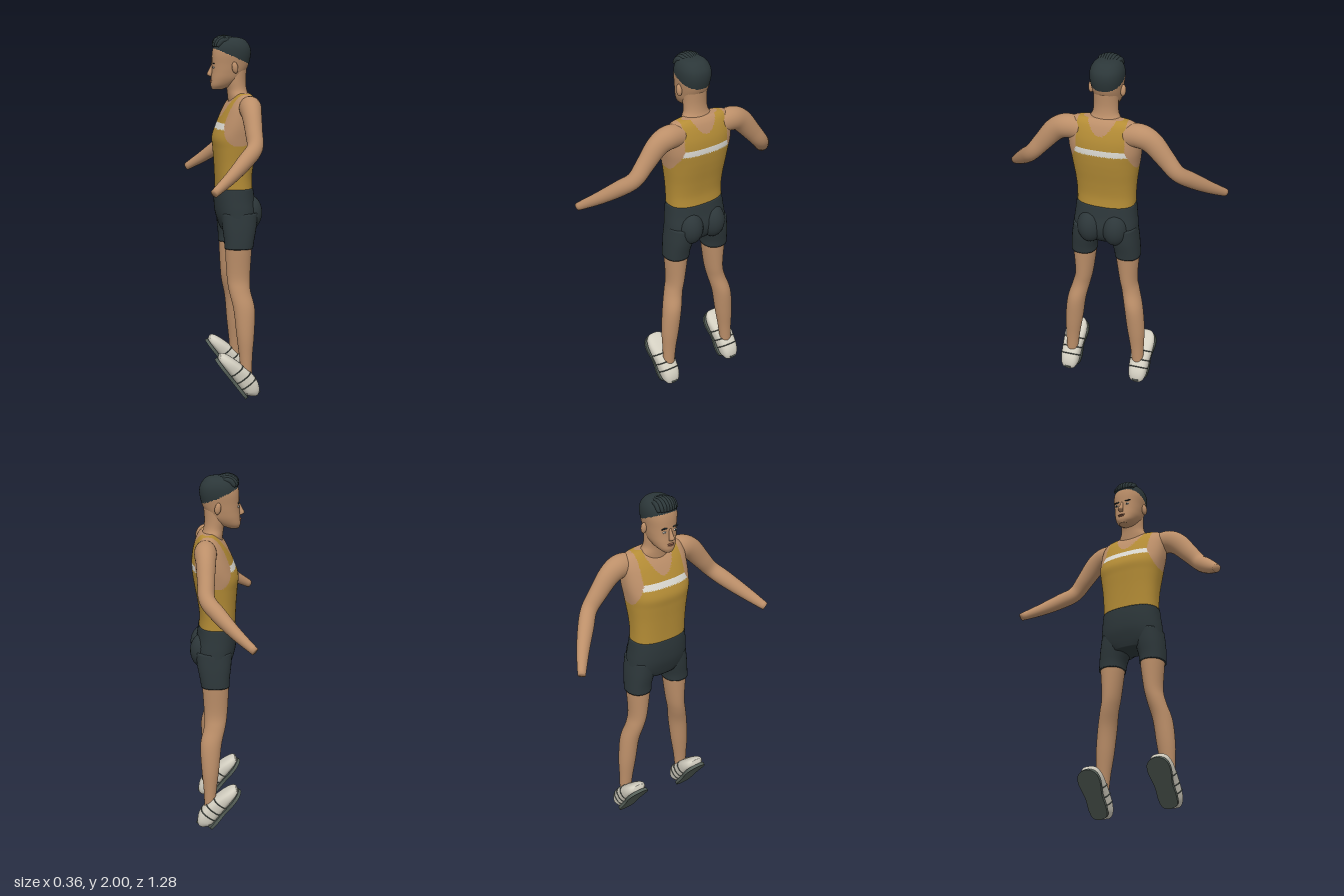
import * as THREE from 'three';

const mat = (name, color) => Object.assign(new THREE.MeshStandardMaterial({ color }), { name });

// Catmull-Rom resampling of cross-section rows
function resample(rows, steps) {
  const out = [], last = rows.length - 1;
  for (let i = 0; i < last; i++) {
    const [p, q, r, s] = [rows[Math.max(i - 1, 0)], rows[i], rows[i + 1], rows[Math.min(i + 2, last)]];
    for (let k = 0; k < steps; k++) {
      const t = k / steps;
      out.push(q.map((v, c) => v + 0.5 * t * (r[c] - p[c] + t * (2 * p[c] - 5 * v + 4 * r[c] - s[c]
        + t * (3 * (v - r[c]) + s[c] - p[c])))));
    }
  }
  out.push(rows[last]);
  return out;
}

// Capped skin over rings [x, y, z, a, b]; a lies along ref, b across it.
// level keeps rings horizontal; classify picks a material index per face.
function loft(rows, { steps = 5, segs = 28, power = 2, ref = [1, 0, 0], level = false, classify = () => 0, slots = 1 } = {}) {
  const rings = resample(rows, steps), pos = [], lists = Array.from({ length: slots }, () => []);
  const at = (r) => new THREE.Vector3(r[0], r[1], r[2]);
  const bend = (v) => Math.sign(v) * Math.abs(v) ** (2 / power);
  rings.forEach((r, i) => {
    const t = at(rings[Math.min(i + 1, rings.length - 1)]).sub(at(rings[Math.max(i - 1, 0)]));
    if (level) t.set(0, Math.sign(t.y), 0);
    t.normalize();
    const u = new THREE.Vector3(...ref);
    u.addScaledVector(t, -u.dot(t)).normalize();
    const w = t.clone().cross(u);
    for (let j = 0; j < segs; j++) {
      const th = j / segs * Math.PI * 2;
      const p = at(r).addScaledVector(u, r[3] * bend(Math.cos(th))).addScaledVector(w, r[4] * bend(Math.sin(th)));
      pos.push(p.x, p.y, p.z);
    }
  });
  const n = rings.length;
  pos.push(...rings[0].slice(0, 3), ...rings[n - 1].slice(0, 3));
  const tri = (...f) => {
    const c = [0, 1, 2].map((k) => (pos[f[0] * 3 + k] + pos[f[1] * 3 + k] + pos[f[2] * 3 + k]) / 3);
    lists[classify(...c)].push(...f);
  };
  for (let j = 0; j < segs; j++) {
    const k = (j + 1) % segs;
    for (let i = 0; i < n - 1; i++) {
      const a = i * segs + j, b = i * segs + k;
      tri(a, b, a + segs);
      tri(b, b + segs, a + segs);
    }
    tri(n * segs, k, j);
    tri(n * segs + 1, (n - 1) * segs + j, (n - 1) * segs + k);
  }
  const g = new THREE.BufferGeometry();
  g.setAttribute('position', new THREE.Float32BufferAttribute(pos, 3));
  g.setIndex(lists.flat());
  let start = 0;
  lists.forEach((l, i) => { g.addGroup(start, l.length, i); start += l.length; });
  g.computeVertexNormals();
  return g;
}

// Rows [y, front x, back x, half width] to ring rows
const body = (rows, z = 0) => rows.map(([y, f, b, w]) => [(f + b) / 2, y, z, (b - f) / 2, w]);

export function createModel() {
  const skin = mat('skin', 0xbc8f69), shirt = mat('shirt', 0xb58d36), white = mat('stripe', 0xe0ded6);
  const dark = mat('shorts', 0x2d373a), hair = mat('hair', 0x2c3739), shoe = mat('shoe', 0xd3cfc1);
  const sole = mat('sole', 0x566059), lip = mat('lips', 0xa06c54);
  const model = new THREE.Group();
  model.name = 'athlete';
  const add = (name, geo, m, parent = model) => {
    const mesh = new THREE.Mesh(geo, m);
    mesh.name = name;
    parent.add(mesh);
    return mesh;
  };
  const blob = (name, m, p, s, parent) => {
    const mesh = add(name, new THREE.SphereGeometry(1, 20, 14), m, parent);
    mesh.position.set(...p);
    mesh.scale.set(...s);
    return mesh;
  };

  // Torso with tank top, chest stripe and bare shoulders
  const tank = (x, y, z) => {
    const d = Math.abs(z), scoop = (x < 0.06 ? 1.55 : 1.6) + 14 * d * d;
    if (d < 0.085 && y > scoop) return 0;
    if (y > 1.4 && d > 0.135 + 0.05 * Math.max(0, 1 - (y - 1.4) / 0.12)) return 0;
    return y > 1.49 && y < 1.523 ? 2 : 1;
  };
  add('torso', loft(body([
    [1.15, -0.074, 0.128, 0.163], [1.22, -0.076, 0.125, 0.164], [1.3, -0.08, 0.135, 0.17], [1.38, -0.086, 0.15, 0.181],
    [1.44, -0.09, 0.16, 0.19], [1.5, -0.07, 0.166, 0.198], [1.56, -0.045, 0.163, 0.2], [1.61, -0.02, 0.152, 0.197],
    [1.65, 0.008, 0.137, 0.185], [1.672, 0.03, 0.122, 0.16], [1.682, 0.045, 0.11, 0.11]]),
  { steps: 8, segs: 128, power: 2.5, level: true, classify: tank, slots: 3 }), [skin, shirt, white]);
  add('neck', loft(body([[1.6, 0.0, 0.13, 0.1], [1.66, -0.005, 0.115, 0.092], [1.7, -0.01, 0.1, 0.071], [1.75, -0.02, 0.095, 0.067],
    [1.82, -0.02, 0.1, 0.068]]), { level: true }), skin);

  // Head and hair cap share one skull, the cap slightly raised
  const skull = [[1.702, -0.092, -0.035, 0.026], [1.725, -0.1, 0.02, 0.05], [1.76, -0.098, 0.07, 0.068], [1.8, -0.094, 0.092, 0.077],
    [1.84, -0.093, 0.11, 0.083], [1.89, -0.092, 0.121, 0.09], [1.93, -0.085, 0.118, 0.088], [1.96, -0.068, 0.1, 0.075],
    [1.978, -0.045, 0.078, 0.054], [1.986, -0.01, 0.045, 0.022]];
  const headOpts = { steps: 8, segs: 64, power: 2.25, level: true };
  add('head', loft(body(skull), { ...headOpts, classify: (x, y) => (y > 1.888 - 0.44 * x ? 1 : 0), slots: 2 }), [skin, hair]);
  // Swept quiff strands
  for (let i = 0; i < 8; i++) {
    const z = -0.056 + i * 0.016, drop = 5 * z * z;
    add('quiffStrand', loft([[-0.086 + drop, 1.935, z, 0.006, 0.009], [-0.075 + drop, 1.966 - drop, z, 0.013, 0.011],
      [-0.035, 1.985 - drop, z * 0.95, 0.014, 0.012], [0.015, 1.977 - drop, z * 0.8, 0.012, 0.01],
      [0.06, 1.96 - drop, z * 0.6, 0.006, 0.005]], { segs: 10, ref: [0, 1, 0.01] }), hair);
  }
  // Face
  add('nose', loft([[-0.088, 1.838, 0, 0.008, 0.007], [-0.098, 1.81, 0, 0.012, 0.01], [-0.107, 1.785, 0, 0.014, 0.015],
    [-0.098, 1.773, 0, 0.008, 0.011]], { level: true, segs: 16 }), skin);
  blob('upperLip', lip, [-0.097, 1.752, 0], [0.008, 0.005, 0.022]);
  blob('lowerLip', lip, [-0.096, 1.743, 0], [0.008, 0.005, 0.018]);

  // Shorts: waist and seat
  add('shortsWaist', loft(body([[1.163, -0.077, 0.131, 0.168], [1.1, -0.08, 0.14, 0.174], [1.03, -0.076, 0.15, 0.181],
    [0.97, -0.06, 0.135, 0.178], [0.93, -0.045, 0.1, 0.12]]), { level: true, segs: 48, power: 2.4 }), dark);

  for (const s of [1, -1]) {
    const side = (rows) => rows.map(([x, y, z, a, b]) => [x, y, z * s, a, b]);
    const label = s > 0 ? 'left' : 'right';

    blob(label + 'Ear', skin, [0.022, 1.823, 0.088 * s], [0.017, 0.032, 0.015]).rotation.z = 0.15;
    blob(label + 'Eye', white, [-0.088, 1.823, 0.034 * s], [0.004, 0.0055, 0.013]);
    blob(label + 'Pupil', hair, [-0.091, 1.823, 0.034 * s], [0.003, 0.005, 0.005]);
    blob(label + 'Brow', hair, [-0.089, 1.844, 0.035 * s], [0.005, 0.004, 0.021]);

    // Arm tapering to a bare wrist
    add(label + 'Arm', loft(side([[0.09, 1.6, 0.12, 0.05, 0.06], [0.088, 1.608, 0.2, 0.06, 0.066], [0.085, 1.575, 0.27, 0.053, 0.062],
      [0.084, 1.49, 0.345, 0.046, 0.052], [0.078, 1.415, 0.408, 0.043, 0.045], [0.02, 1.355, 0.468, 0.042, 0.045],
      [-0.07, 1.278, 0.548, 0.032, 0.036], [-0.165, 1.208, 0.62, 0.021, 0.023]])), skin);

    // Leg and shorts leg
    add(label + 'Leg', loft(side(body([[0.9, -0.038, 0.115, 0.068], [0.83, -0.038, 0.11, 0.066], [0.68, -0.03, 0.1, 0.051],
      [0.6, -0.02, 0.1, 0.05], [0.5, 0.002, 0.121, 0.053], [0.36, 0.016, 0.115, 0.051], [0.24, 0.03, 0.104, 0.04],
      [0.13, 0.04, 0.1, 0.033]]).map((r, i) => [r[0], r[1], [0.126, 0.126, 0.132, 0.148, 0.172, 0.188, 0.197, 0.203][i], r[3], r[4]])),
    { level: true }), skin);
    add(label + 'ShortsLeg', loft(side([[0.045, 1.03, 0.1, 0.1, 0.08], [0.043, 0.95, 0.113, 0.094, 0.078],
      [0.04, 0.88, 0.125, 0.083, 0.072], [0.037, 0.836, 0.128, 0.079, 0.071]]), { level: true, power: 2.3 }), dark);
    blob(label + 'Seat', dark, [0.098, 1.025, 0.072 * s], [0.079, 0.1, 0.073]);

    // Shoe, toe raised; local -x points to the toe
    const foot = new THREE.Group();
    foot.name = label + 'Shoe';
    foot.position.set(0.062, 0.002, 0.21 * s);
    foot.rotation.z = -0.927;
    model.add(foot);
    const ring = (x, top, half, low = 0.012) => [x, (top + low) / 2, 0, half, (top - low) / 2];
    const shoeOpts = { ref: [0, 0, 1], power: 2.7, segs: 24 };
    add('upper', loft([ring(0.006, 0.072, 0.034), ring(-0.012, 0.098, 0.048), ring(-0.05, 0.114, 0.054), ring(-0.11, 0.112, 0.057),
      ring(-0.16, 0.1, 0.061), ring(-0.22, 0.083, 0.063), ring(-0.262, 0.065, 0.053), ring(-0.28, 0.045, 0.034)], shoeOpts), shoe, foot);
    for (const [x, top, half] of [[-0.06, 0.115, 0.055], [-0.105, 0.113, 0.057], [-0.16, 0.101, 0.061]])
      add('strap', loft([ring(x, top + 0.002, half + 0.002), ring(x - 0.005, top + 0.002, half + 0.002)],
        { ...shoeOpts, steps: 1 }), sole, foot);
    const outline = new THREE.Shape(new THREE.SplineCurve([[0.004, 0], [-0.01, 0.042], [-0.06, 0.054], [-0.13, 0.052], [-0.21, 0.066],
      [-0.262, 0.052], [-0.284, 0], [-0.262, -0.052], [-0.21, -0.066], [-0.13, -0.052], [-0.06, -0.054], [-0.01, -0.042],
      [0.004, 0]].map((p) => new THREE.Vector2(...p))).getPoints(48));
    const plate = add('sole', new THREE.ExtrudeGeometry(outline, { depth: 0.018, bevelEnabled: false }), sole, foot);
    plate.rotation.x = -Math.PI / 2;
    const tab = add('heelTab', new THREE.BoxGeometry(0.03, 0.006, 0.035), sole, foot);
    tab.position.set(0.005, 0.085, 0);
  }
  return model;
}
